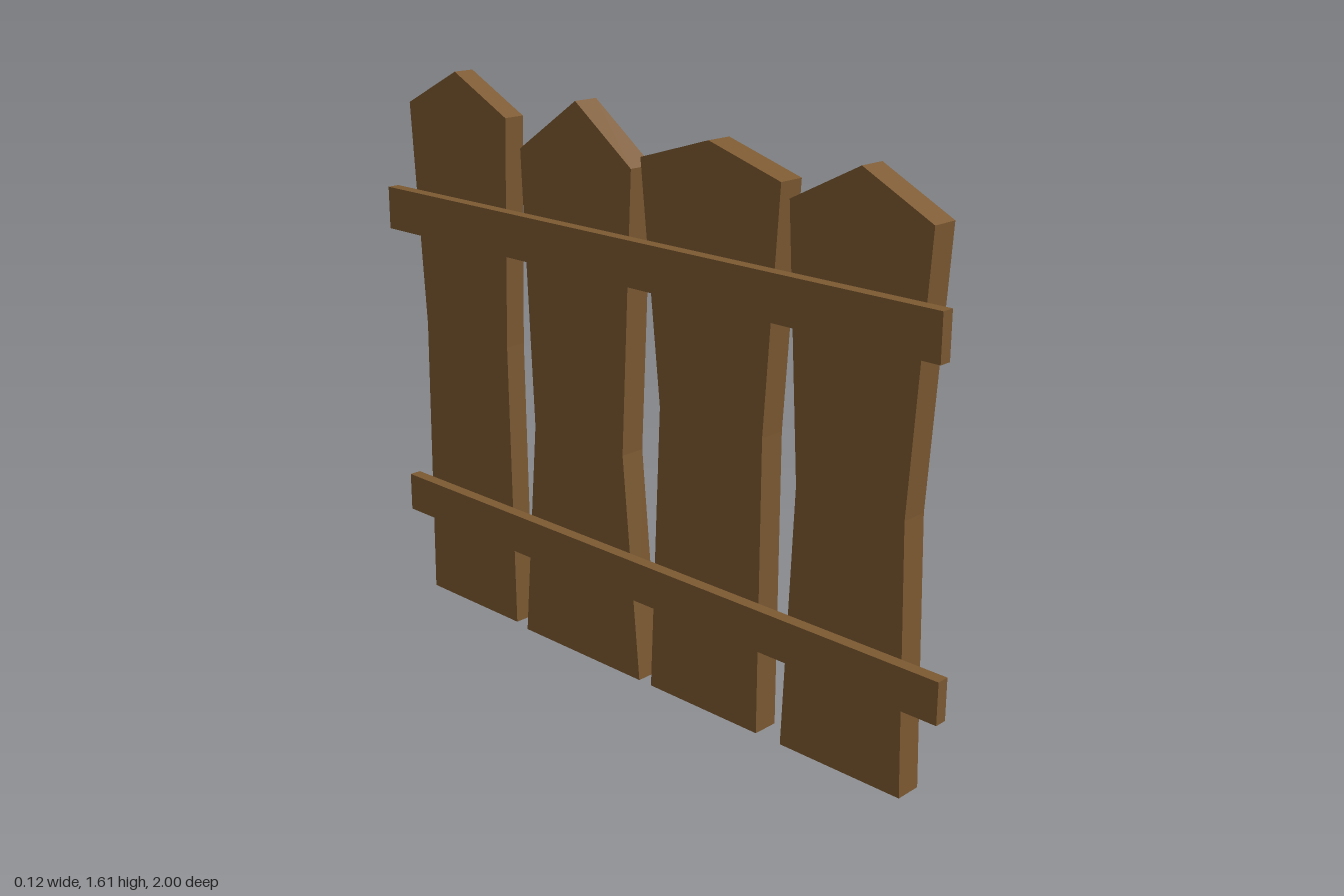
import * as THREE from 'three';

const wood = new THREE.MeshStandardMaterial({ color: 0x7d5a32, flatShading: true });
const metal = new THREE.MeshStandardMaterial({ color: 0x808080, flatShading: true });

// Each row is [z of left edge, z of right edge, y]; the waist is the narrow middle.
const planks = [
  { foot: [0.88, 0.50, 0], waist: [0.857, 0.53, 0.72], shoulder: [0.90, 0.487, 1.425],
    tip: [0.694, 1.53], bolts: [[0.704, 1.205], [0.704, 0.34]], back: -0.03, lean: 0 },
  { foot: [0.418, 0.035, 0], waist: [0.418, 0.067, 0.815], shoulder: [0.46, -0.003, 1.46],
    tip: [0.228, 1.53], bolts: [[0.228, 1.205], [0.228, 0.34]], back: -0.03, lean: 0 },
  { foot: [-0.01, -0.474, 0], waist: [-0.072, -0.42, 0.645], shoulder: [-0.037, -0.458, 1.425],
    tip: [-0.24, 1.575], bolts: [[-0.24, 1.19], [-0.248, 0.34]], back: -0.03, lean: 0 },
  { foot: [-0.533, -0.913, 0], waist: [-0.538, -0.892, 0.85], shoulder: [-0.514, -0.927, 1.5],
    tip: [-0.72, 1.605], bolts: [[-0.715, 1.19], [-0.712, 0.34]], back: -0.018, lean: 0.009 },
];
const FRONT = 0.045;

// Pointed plank outline, extruded through its thickness and leaned back slightly
function plankGeometry({ foot, waist, shoulder, tip, back, lean }) {
  const rows = [foot, waist, shoulder];
  const points = [
    ...rows.map(([, z, y]) => new THREE.Vector2(-z, y)),
    new THREE.Vector2(-tip[0], tip[1]),
    ...rows.reverse().map(([z, , y]) => new THREE.Vector2(-z, y)),
  ];
  const geometry = new THREE.ExtrudeGeometry(new THREE.Shape(points), {
    depth: FRONT - back, bevelEnabled: false,
  });
  geometry.rotateY(Math.PI / 2).translate(back, 0, 0);
  const p = geometry.attributes.position;
  for (let i = 0; i < p.count; i++) p.setX(i, p.getX(i) - lean * p.getY(i));
  geometry.computeVertexNormals();
  return geometry;
}

function addMesh(parent, name, geometry, material) {
  const mesh = new THREE.Mesh(geometry, material);
  mesh.name = name;
  parent.add(mesh);
  return mesh;
}

export function createModel() {
  const fence = new THREE.Group();
  fence.name = 'woodenFence';

  // Planks, each with two bolts
  planks.forEach((plank, i) => {
    const group = new THREE.Group();
    group.name = `plankWithBolts${i + 1}`;
    addMesh(group, 'plank', plankGeometry(plank), wood);
    for (const [z, y] of plank.bolts) {
      const bolt = addMesh(group, 'bolt', new THREE.CylinderGeometry(0.038, 0.038, 0.04, 12), metal);
      bolt.rotation.z = -Math.PI / 2;
      bolt.position.set(0.04, y, z);
    }
    fence.add(group);
  });

  // Cross rails behind the planks: [name, bottom, top, z min, z max]
  for (const [name, y0, y1, z0, z1] of [
    ['upperRail', 1.127, 1.25, -1, 0.958],
    ['lowerRail', 0.257, 0.37, -0.956, 1],
  ]) {
    const rail = addMesh(fence, name, new THREE.BoxGeometry(0.035, y1 - y0, z1 - z0), wood);
    rail.position.set(-0.0475, (y0 + y1) / 2, (z0 + z1) / 2);
  }
  return fence;
}
